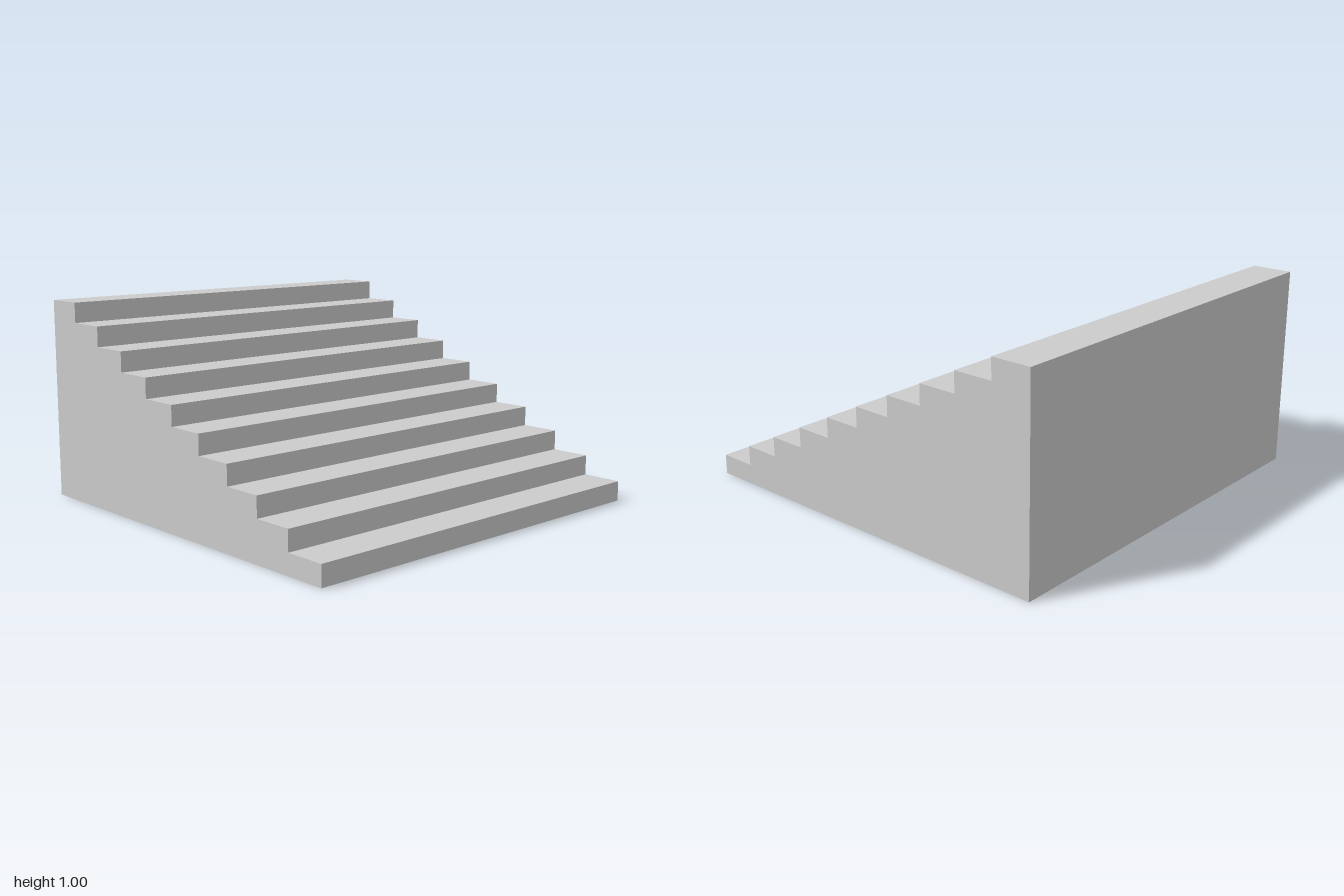
import * as THREE from 'three';

const STEPS = 10;
const TREAD = 0.2; // depth of each step along x
const RISER = 0.1; // height of each step
const WIDTH = 2;   // width of the flight along z

export function createModel() {
  const group = new THREE.Group();
  group.name = 'staircase';

  // Stepped side profile, climbing from +x to -x
  const profile = new THREE.Shape();
  profile.moveTo(-1, 0);
  profile.lineTo(1, 0);
  for (let i = 0; i < STEPS; i++) {
    const x = 1 - i * TREAD;
    const y = (i + 1) * RISER;
    profile.lineTo(x, y);         // riser
    profile.lineTo(x - TREAD, y); // tread
  }
  profile.closePath();

  // Solid flight of steps
  const geometry = new THREE.ExtrudeGeometry(profile, { depth: WIDTH, bevelEnabled: false });
  geometry.translate(0, 0, -WIDTH / 2);
  const material = new THREE.MeshStandardMaterial({ color: 0xcccccc, flatShading: true });
  const steps = new THREE.Mesh(geometry, material);
  steps.name = 'steps';
  group.add(steps);

  return group;
}
